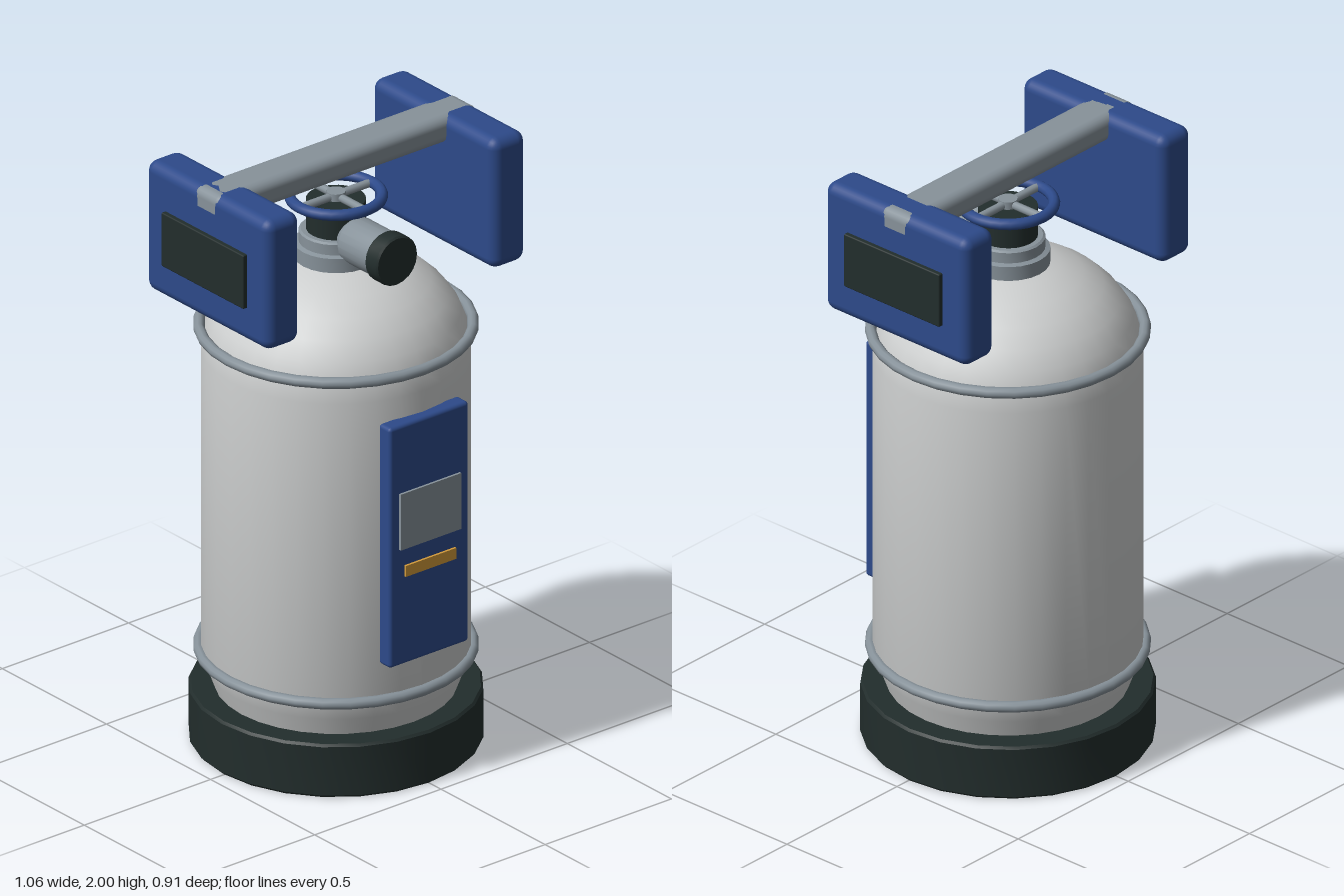
import * as THREE from 'three';
import { toCreasedNormals } from 'three/addons/utils/BufferGeometryUtils.js';
import { RoundedBoxGeometry } from 'three/addons/geometries/RoundedBoxGeometry.js';

const mat = (name, color) => {
  const m = new THREE.MeshStandardMaterial({ color });
  m.name = name;
  return m;
};

export function createModel() {
  const shell = mat('light grey shell', 0xcdcfcf);
  const steel = mat('steel', 0x87929a);
  const blue = mat('blue', 0x2d4a8a);
  const dark = mat('dark rubber', 0x222d2c);
  const amber = mat('amber', 0xd29a3a);

  const root = new THREE.Group();
  root.name = 'gasCanister';
  const model = new THREE.Group();
  model.name = 'canister';
  model.position.z = -0.004;
  root.add(model);

  const add = (name, geometry, material, x = 0, y = 0, z = 0, parent = model) => {
    const mesh = new THREE.Mesh(geometry, material);
    mesh.name = name;
    mesh.position.set(x, y, z);
    parent.add(mesh);
    return mesh;
  };
  const lathe = (points, segments) => toCreasedNormals(
    new THREE.LatheGeometry(points.map(([r, y]) => new THREE.Vector2(r, y)), segments), 0.6);

  // Rubber foot
  add('foot', lathe([[0, 0], [0.445, 0], [0.452, 0.008], [0.452, 0.172], [0.445, 0.18], [0, 0.18]], 24), dark);

  // Tank: tapered bottom, straight wall and elliptical dome
  const profile = [[0, 0.17], [0.37, 0.17], [0.395, 0.24], [0.415, 0.3]];
  for (let i = 0; i <= 8; i++) {
    const a = (i / 8) * Math.PI / 2;
    profile.push([i === 8 ? 0 : 0.415 * Math.cos(a), 1.32 + 0.325 * Math.sin(a)]);
  }
  add('tank', lathe(profile, 32), shell);

  // Steel hoops
  for (const [name, y] of [['lowerHoop', 0.305], ['upperHoop', 1.395]]) {
    add(name, new THREE.TorusGeometry(0.42, 0.018, 10, 32), steel, 0, y).rotation.x = Math.PI / 2;
  }

  // Front panel with its plate and stripe
  add('frontPanel', new RoundedBoxGeometry(0.314, 0.815, 0.056, 2, 0.012), blue, 0, 0.842, 0.421);
  add('panelPlate', new THREE.BoxGeometry(0.24, 0.19, 0.009), steel, 0, 0.925, 0.4525);
  add('panelStripe', new THREE.BoxGeometry(0.2, 0.037, 0.009), amber, 0, 0.753, 0.4525);

  // Valve: collar, stem, forward outlet and its cap
  add('collar', lathe([[0, 1.58], [0.13, 1.58], [0.13, 1.675], [0.115, 1.68], [0.115, 1.715], [0.108, 1.72], [0, 1.72]], 24), steel);
  add('valveStem', new THREE.CylinderGeometry(0.092, 0.092, 0.13, 24), dark, 0, 1.755);
  const outlet = add('outlet', lathe([[0, 0], [0.06, 0], [0.075, 0.025], [0.075, 0.18], [0, 0.18]], 20), steel, 0, 1.715, 0.075);
  outlet.rotation.x = Math.PI / 2;
  const cap = add('outletCap', lathe([[0, 0], [0.077, 0], [0.082, 0.006], [0.082, 0.054], [0.077, 0.06], [0, 0.06]], 20), dark, 0, 1.715, 0.235);
  cap.rotation.x = Math.PI / 2;

  // Handwheel with crossed spokes
  const wheel = new THREE.Group();
  wheel.name = 'handwheel';
  wheel.position.y = 1.83;
  model.add(wheel);
  add('wheelRim', new THREE.TorusGeometry(0.142, 0.018, 10, 32), blue, 0, 0, 0, wheel).rotation.x = Math.PI / 2;
  for (let i = 0; i < 2; i++) {
    const spoke = add('wheelSpoke', new THREE.CylinderGeometry(0.013, 0.013, 0.28, 10), steel, 0, 0, 0, wheel);
    spoke.rotation.set(Math.PI / 2, 0, i * Math.PI / 2);
  }
  add('wheelHub', new THREE.CylinderGeometry(0.03, 0.03, 0.04, 16), steel, 0, -0.005, 0, wheel);

  // Carrying handle: crossbar with a padded block on each end
  add('crossbar', new RoundedBoxGeometry(1.03, 0.09, 0.14, 2, 0.03), steel, 0, 1.955);
  for (const [side, s] of [['left', 1], ['right', -1]]) {
    add(side + 'HandleBlock', new RoundedBoxGeometry(0.135, 0.44, 0.592, 3, 0.035), blue, s * 0.447, 1.78);
    add(side + 'HandlePad', new RoundedBoxGeometry(0.04, 0.182, 0.394, 1, 0.004), dark, s * 0.51, 1.77);
  }
  return root;
}
